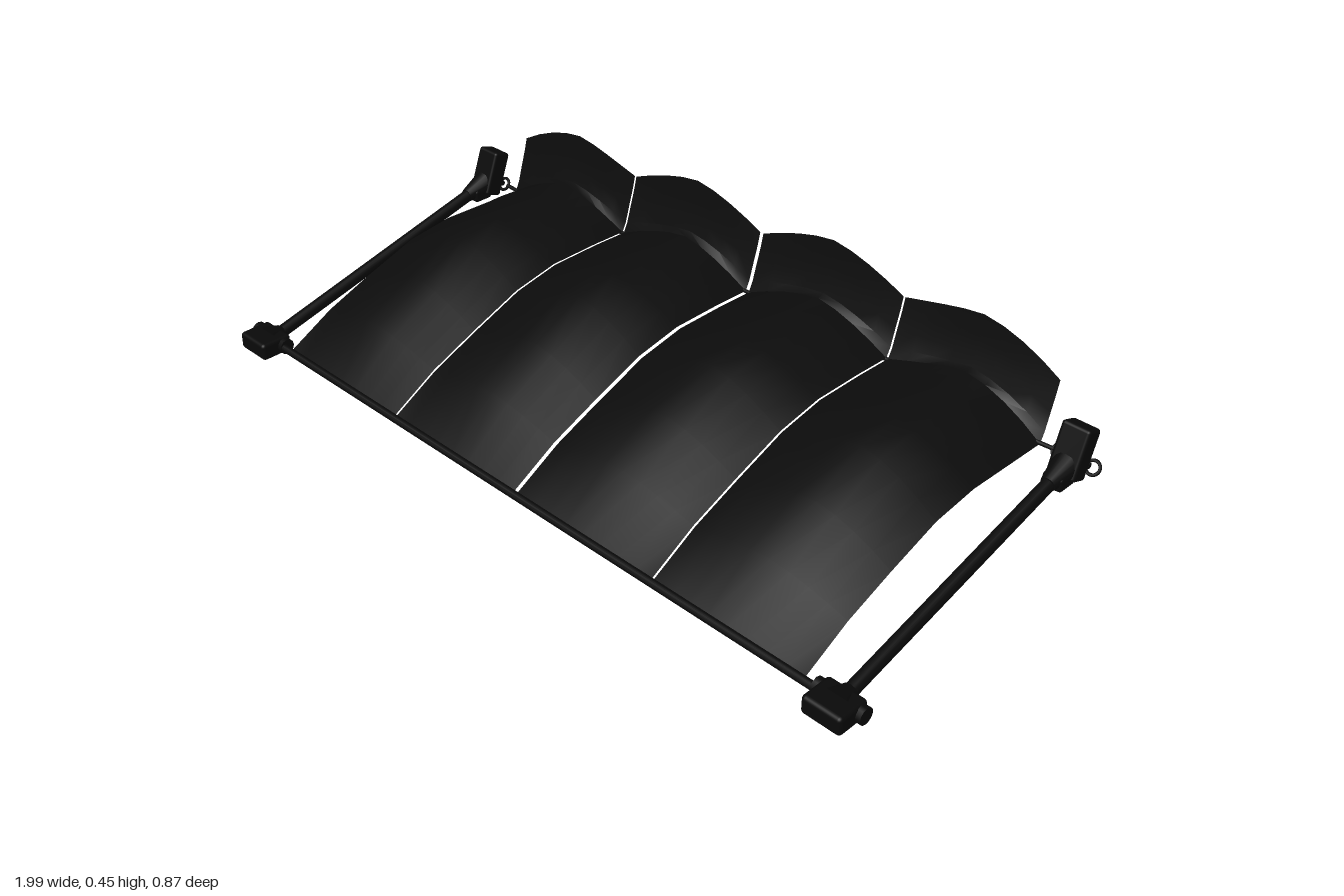
import * as THREE from 'three';
import { toCreasedNormals } from 'three/addons/utils/BufferGeometryUtils.js';
import { RoundedBoxGeometry } from 'three/addons/geometries/RoundedBoxGeometry.js';

const fabric = new THREE.MeshStandardMaterial({ color: 0x0b0b0b, side: THREE.DoubleSide });
fabric.name = 'black fabric';
const metal = new THREE.MeshStandardMaterial({ color: 0x090909 });
metal.name = 'black metal';

// Profile from front bar to upturned rear lip:
// [seam z, seam y at outer edge, rise of inner seams, crest z, crest y]
const PROFILE = [
  [0.38, 0.04, 0, 0.38, 0.04],
  [0.25, 0.11, 0.005, 0.25, 0.15],
  [0.12, 0.16, 0.01, 0.11, 0.222],
  [-0.02, 0.208, 0.017, -0.03, 0.293],
  [-0.145, 0.225, 0.025, -0.145, 0.31],
  [-0.285, 0.222, 0.03, -0.285, 0.325],
  [-0.385, 0.22, 0.03, -0.39, 0.318],
  [-0.397, 0.245, 0.03, -0.408, 0.325],
  [-0.41, 0.29, 0.03, -0.417, 0.355],
  [-0.422, 0.33, 0.03, -0.427, 0.4],
  [-0.43, 0.362, 0.032, -0.434, 0.455],
];

// One arched canopy panel between x0 and x1; seam0/seam1 are 0 at the outer edge, 1 inside
function panel(x0, x1, seam0, seam1, crestDrop) {
  const cols = 8, pos = [], idx = [];
  PROFILE.forEach(([sz, sy, rise, cz, cy], r) => {
    const u = r / (PROFILE.length - 1);
    for (let c = 0; c <= cols; c++) {
      const t = c / cols;
      const arch = 1 - Math.pow(Math.abs(2 * t - 1), 1.5);
      const low = sy + rise * THREE.MathUtils.lerp(seam0, seam1, t);
      const high = cy - crestDrop * u;
      pos.push(
        THREE.MathUtils.lerp(x0, x1, t),
        THREE.MathUtils.lerp(low, high, arch),
        THREE.MathUtils.lerp(sz, cz, arch)
      );
      if (r > 0 && c > 0) {
        const d = r * (cols + 1) + c, b = d - cols - 1;
        idx.push(b - 1, b, d, b - 1, d, d - 1);
      }
    }
  });
  const g = new THREE.BufferGeometry();
  g.setAttribute('position', new THREE.Float32BufferAttribute(pos, 3));
  g.setIndex(idx);
  return toCreasedNormals(g, 0.5);
}

function add(parent, name, geometry, material, x = 0, y = 0, z = 0) {
  const m = new THREE.Mesh(geometry, material);
  m.name = name;
  m.position.set(x, y, z);
  parent.add(m);
  return m;
}

// Cylinder running from point a to point b
function rod(parent, name, a, b, ra, rb, sides = 16) {
  const dir = b.clone().sub(a);
  const m = add(parent, name, new THREE.CylinderGeometry(rb, ra, dir.length(), sides), metal);
  m.position.copy(a).add(b).multiplyScalar(0.5);
  m.quaternion.setFromUnitVectors(new THREE.Vector3(0, 1, 0), dir.normalize());
  return m;
}

const V = (x, y, z) => new THREE.Vector3(x, y, z);

// Side arm with its front joint, rear bracket and rings
function sideArm(s) {
  const g = new THREE.Group();
  g.name = s > 0 ? 'leftArm' : 'rightArm';
  const x = s * 0.933;
  rod(g, 'pole', V(x, 0.04, 0.37), V(x, 0.215, -0.31), 0.016, 0.016);

  // Front joint
  add(g, 'frontJoint', new RoundedBoxGeometry(0.1, 0.046, 0.085, 3, 0.01), metal, x, 0.04, 0.393);
  rod(g, 'frontFlange', V(x, 0.04, 0.345), V(x, 0.04, 0.385), 0.024, 0.036, 12);
  rod(g, 'pivotPin', V(x - 0.062, 0.04, 0.372), V(x + 0.062, 0.04, 0.372), 0.02, 0.02, 12);

  // Rear socket and tilted bracket
  rod(g, 'rearSocket', V(x, 0.21, -0.285), V(x, 0.225, -0.35), 0.018, 0.034);
  const bracket = add(g, 'rearBracket',
    new RoundedBoxGeometry(0.07, 0.12, 0.05, 3, 0.008), metal, x, 0.255, -0.37);
  bracket.rotation.x = -0.35;
  add(g, 'bracketFoot', new RoundedBoxGeometry(0.05, 0.035, 0.055, 2, 0.008), metal, x, 0.207, -0.325);

  // Cable rings on either side of the bracket
  for (const rx of [0.893, 0.976]) {
    const ring = add(g, 'ring', new THREE.TorusGeometry(0.016, 0.004, 8, 20), metal, s * rx, 0.224, -0.385);
    ring.rotation.x = -0.6;
  }
  rod(g, 'ringPin', V(x - 0.035, 0.224, -0.385), V(x + 0.035, 0.224, -0.385), 0.007, 0.007, 8);
  return g;
}

export function createModel() {
  const model = new THREE.Group();
  model.name = 'foldingCanopy';

  // Four canopy panels, mirrored about the centre
  for (const s of [-1, 1]) {
    add(model, 'innerPanel', panel(s * 0.005, s * 0.426, 1, 1, 0), fabric);
    add(model, 'outerPanel', panel(s * 0.431, s * 0.845, 1, 0, 0.02), fabric);
    model.add(sideArm(s));
  }

  // Front bar
  rod(model, 'frontBar', V(-0.99, 0.04, 0.38), V(0.99, 0.04, 0.38), 0.01, 0.01, 12);

  // Rear cable passing under the seams
  const cable = new THREE.CatmullRomCurve3([
    V(-0.88, 0.224, -0.385), V(-0.845, 0.222, -0.385), V(-0.428, 0.247, -0.385), V(0, 0.249, -0.385),
    V(0.428, 0.247, -0.385), V(0.845, 0.222, -0.385), V(0.88, 0.224, -0.385),
  ]);
  add(model, 'rearCable', new THREE.TubeGeometry(cable, 48, 0.005, 8), metal);

  return model;
}
